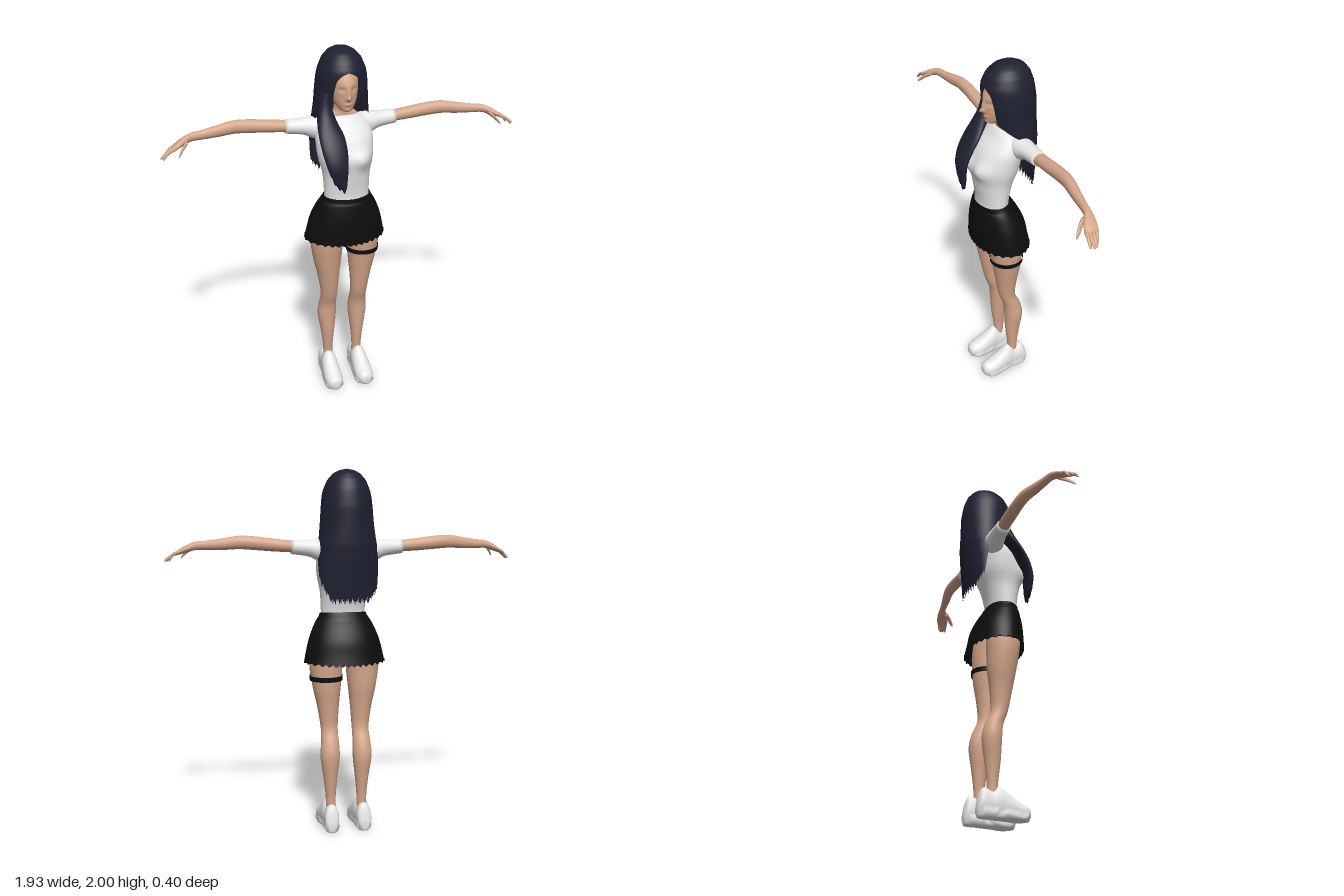
import * as THREE from 'three';

const mat = (name, color) => {
  const m = new THREE.MeshStandardMaterial({ color, side: THREE.DoubleSide });
  m.name = name;
  return m;
};

// Smooth interpolation through stations, component by component
function refine(stations, sub) {
  const out = [], last = stations.length - 1;
  for (let i = 0; i < last; i++) {
    const [a, b, c, d] = [Math.max(i - 1, 0), i, i + 1, Math.min(i + 2, last)].map(k => stations[k]);
    for (let s = 0; s < sub; s++) {
      const t = s / sub;
      out.push(b.map((_, k) => 0.5 * (2 * b[k] + (c[k] - a[k]) * t +
        (2 * a[k] - 5 * b[k] + 4 * c[k] - d[k]) * t * t + (3 * b[k] - a[k] - 3 * c[k] + d[k]) * t * t * t)));
    }
  }
  out.push(stations[last]);
  return out;
}

// Loft of elliptical rings; station = [x, y, z, radius1, radius2], running along +axis.
// Radii are x,z for axis y; y,z for axis x; x,y for axis z.
function loft(stations, axis, { n = 24, sub = 4, open = false, deform = null } = {}) {
  const rings = refine(stations, sub), pos = [], idx = [], v = new THREE.Vector3();
  const add = () => { if (deform) deform(v); pos.push(v.x, v.y, v.z); };
  for (const [x, y, z, p, q] of rings) {
    for (let j = 0; j < n; j++) {
      const t = j / n * Math.PI * 2, c = Math.cos(t), s = Math.sin(t);
      if (axis === 'y') v.set(x + p * s, y, z + q * c);
      else if (axis === 'x') v.set(x, y + p * c, z + q * s);
      else v.set(x + p * c, y + q * s, z);
      add();
    }
  }
  const m = rings.length;
  for (let i = 0; i < m - 1; i++) for (let j = 0; j < n; j++) {
    const a = i * n + j, b = i * n + (j + 1) % n;
    idx.push(a, b, b + n, a, b + n, a + n);
  }
  if (!open) {
    for (const r of [0, m - 1]) {
      const centre = pos.length / 3;
      v.set(...rings[r].slice(0, 3));
      add();
      for (let j = 0; j < n; j++) {
        const a = r * n + j, b = r * n + (j + 1) % n;
        r ? idx.push(a, b, centre) : idx.push(b, a, centre);
      }
    }
  }
  return build(pos, idx);
}

function build(pos, idx) {
  const g = new THREE.BufferGeometry();
  g.setAttribute('position', new THREE.Float32BufferAttribute(pos, 3));
  g.setIndex(idx);
  g.computeVertexNormals();
  return g;
}

function mirrored(g) {
  const pos = Array.from(g.attributes.position.array, (p, i) => i % 3 ? p : -p);
  return build(pos, Array.from(g.index.array).reverse());
}

// Linear lookup in rows [y, ...values], y falling
function lookup(rows, y) {
  let i = 0;
  while (i < rows.length - 2 && y < rows[i + 1][0]) i++;
  const [a, b] = [rows[i], rows[i + 1]];
  const t = THREE.MathUtils.clamp((a[0] - y) / (a[0] - b[0]), 0, 1);
  return a.map((p, k) => p + (b[k] - p) * t);
}

// Long hair: a sheet wrapped round the head, parted at the face and ragged at the hem
function hairSheet() {
  // y, centre z, radius x, radius z, opening angle from the front in degrees
  const rows = [
    [2.0, -0.06, 0.002, 0.002, 0], [1.993, -0.06, 0.04, 0.045, 0], [1.975, -0.058, 0.073, 0.083, 0],
    [1.94, -0.055, 0.104, 0.115, 0], [1.89, -0.052, 0.125, 0.136, 0], [1.875, -0.053, 0.129, 0.138, 17],
    [1.85, -0.055, 0.134, 0.14, 26], [1.8, -0.06, 0.139, 0.142, 31], [1.7, -0.067, 0.147, 0.135, 33],
    [1.65, -0.075, 0.153, 0.127, 58], [1.6, -0.085, 0.16, 0.117, 88], [1.5, -0.09, 0.167, 0.102, 98],
    [1.4, -0.1, 0.163, 0.08, 103], [1.28, -0.115, 0.15, 0.05, 108]];
  const U = 96, V = 60, pos = [], idx = [];
  for (let i = 0; i <= V; i++) for (let j = 0; j <= U; j++) {
    const u = j / U, edge = Math.min(u, 1 - u);
    const rag = 0.014 * Math.sin(j * 2.3) + 0.01 * Math.sin(j * 0.9);
    const hem = 1.3 + (u < 0.5 ? 0.13 : 0.07) * Math.max(0, 1 - edge / 0.22) + rag;
    const f = i / V;
    const y = 2 - (2 - hem) * (f < 0.2 ? f * f * 2.5 : 0.1 + (f - 0.2) * 1.125);
    const [, cz, rx, rz, deg] = lookup(rows, y);
    const o = THREE.MathUtils.degToRad(deg), t = o + u * 2 * (Math.PI - o);
    pos.push(rx * Math.sin(t), y, cz + rz * Math.cos(t));
  }
  for (let i = 0; i < V; i++) for (let j = 0; j < U; j++) {
    const a = i * (U + 1) + j, b = a + U + 1;
    idx.push(b, b + 1, a + 1, b, a + 1, a);
  }
  return build(pos, idx);
}

const bump = (v, x, y, sx, sy) => Math.exp(-(((v.x - x) / sx) ** 2) - (((v.y - y) / sy) ** 2));

export function createModel() {
  const model = new THREE.Group();
  const skin = mat('skin', 0xd4a68a), white = mat('white cloth', 0xeeeeee);
  const hair = mat('dark hair', 0x1f2031), black = mat('black cloth', 0x0d0d0d);
  const add = (name, geo, material) => {
    const m = new THREE.Mesh(geo, material);
    m.name = name;
    model.add(m);
  };
  const pair = (name, geo, material) => {
    add('left' + name, geo, material);
    add('right' + name, mirrored(geo), material);
  };

  // Head with nose, eye sockets, lips and chin
  add('head', loft([
    [0, 1.677, 0.035, 0.012, 0.012], [0, 1.688, 0.025, 0.034, 0.042], [0, 1.72, 0.005, 0.056, 0.07],
    [0, 1.76, -0.01, 0.069, 0.089], [0, 1.82, -0.025, 0.076, 0.108], [0, 1.88, -0.045, 0.076, 0.105],
    [0, 1.94, -0.055, 0.06, 0.075], [0, 1.965, -0.055, 0.015, 0.02]], 'y',
  { n: 64, sub: 8, deform: v => {
    if (v.z < 0.02) return;
    v.z += 0.026 * bump(v, 0, 1.757, 0.011, 0.013) + 0.012 * bump(v, 0, 1.785, 0.009, 0.025)
      + 0.007 * bump(v, 0, 1.722, 0.02, 0.009) + 0.005 * bump(v, 0, 1.69, 0.02, 0.012)
      - 0.01 * (bump(v, 0.032, 1.802, 0.018, 0.012) + bump(v, -0.032, 1.802, 0.018, 0.012));
  } }), skin);
  add('neck', loft([[0, 1.61, -0.04, 0.1, 0.05], [0, 1.65, -0.04, 0.077, 0.047],
    [0, 1.67, -0.035, 0.05, 0.044], [0, 1.74, -0.025, 0.044, 0.045]], 'y'), skin);

  // Hair and the lock lying over the right shoulder
  add('longHair', hairSheet(), hair);
  add('frontLock', loft([
    [-0.05, 1.29, 0.18, 0.01, 0.008], [-0.072, 1.34, 0.178, 0.036, 0.018], [-0.085, 1.42, 0.175, 0.055, 0.025],
    [-0.092, 1.5, 0.145, 0.067, 0.028], [-0.098, 1.57, 0.1, 0.067, 0.03], [-0.108, 1.63, 0.055, 0.053, 0.035],
    [-0.11, 1.7, 0.015, 0.038, 0.04], [-0.1, 1.78, 0, 0.03, 0.04]], 'y',
  { n: 32, deform: v => { if (v.y < 1.36) v.y += 0.012 * Math.sin(v.x * 260); } }), hair);

  // Shirt
  add('shirt', loft([
    [0, 1.17, 0.04, 0.122, 0.083], [0, 1.24, 0.04, 0.124, 0.083], [0, 1.34, 0.034, 0.13, 0.103],
    [0, 1.42, 0.02, 0.148, 0.12], [0, 1.48, 0.008, 0.155, 0.12], [0, 1.54, -0.006, 0.155, 0.112],
    [0, 1.6, -0.03, 0.135, 0.082], [0, 1.635, -0.038, 0.095, 0.06], [0, 1.645, -0.04, 0.065, 0.047]], 'y',
  { n: 48, sub: 6, deform: v => {
    if (v.z > 0.03) v.z += 0.034 * Math.min(1, (v.z - 0.03) / 0.05)
      * (bump(v, 0.068, 1.44, 0.055, 0.055) + bump(v, -0.068, 1.44, 0.055, 0.055));
  } }), white);
  pair('Sleeve', loft([[0.06, 1.578, -0.045, 0.058, 0.055], [0.15, 1.572, -0.063, 0.06, 0.057],
    [0.21, 1.582, -0.068, 0.045, 0.048], [0.305, 1.588, -0.07, 0.037, 0.041]], 'x'), white);

  // Arms, fingers and thumbs
  pair('Arm', loft([
    [0.26, 1.588, -0.07, 0.03, 0.034], [0.4, 1.6, -0.073, 0.034, 0.034], [0.5, 1.61, -0.073, 0.036, 0.031],
    [0.58, 1.614, -0.068, 0.035, 0.029], [0.66, 1.606, -0.055, 0.031, 0.026], [0.74, 1.6, -0.041, 0.025, 0.021],
    [0.8, 1.597, -0.03, 0.022, 0.02], [0.835, 1.587, -0.018, 0.021, 0.029], [0.87, 1.573, -0.005, 0.017, 0.036],
    [0.905, 1.556, 0.004, 0.01, 0.034]], 'x'), skin);
  [[-0.022, 0.0, 0.945], [-0.005, 0.014, 0.96], [0.013, 0.028, 0.966], [0.03, 0.042, 0.955]].forEach(([z0, z1, tip], i) => {
    pair('Finger' + (i + 1), loft([
      [0.885, 1.564, z0, 0.009, 0.009], [0.92, 1.55, (z0 + z1) / 2, 0.009, 0.009],
      [tip - 0.008, 1.524, z1 - 0.002, 0.008, 0.008], [tip, 1.517, z1, 0.003, 0.003]], 'x', { n: 10 }), skin);
  });
  pair('Thumb', loft([[0.825, 1.584, 0.005, 0.013, 0.014], [0.85, 1.564, 0.035, 0.011, 0.013],
    [0.87, 1.542, 0.058, 0.009, 0.011], [0.878, 1.53, 0.068, 0.003, 0.004]], 'x', { n: 10 }), skin);

  // Skirt with a scalloped hem
  add('skirt', loft([
    [0, 0.945, -0.003, 0.228, 0.153], [0, 1.0, 0.003, 0.217, 0.147], [0, 1.08, 0.01, 0.197, 0.138],
    [0, 1.16, 0.025, 0.164, 0.114], [0, 1.2, 0.037, 0.139, 0.094], [0, 1.222, 0.042, 0.129, 0.087]], 'y',
  { n: 120, open: true, deform: v => {
    if (v.y < 0.95) v.y += 0.007 * Math.sin(30 * Math.atan2(v.x, v.z)) + 0.2 * v.x * v.x;
    if (v.y > 1.19) v.y -= 0.1 * (v.z - 0.04);
  } }), black);

  // Legs and thigh strap
  pair('Leg', loft([
    [0.088, 0.12, -0.05, 0.027, 0.027], [0.089, 0.2, -0.048, 0.029, 0.031], [0.09, 0.3, -0.048, 0.039, 0.043],
    [0.092, 0.42, -0.052, 0.054, 0.053], [0.09, 0.5, -0.04, 0.05, 0.049], [0.089, 0.58, -0.01, 0.048, 0.047],
    [0.094, 0.7, -0.002, 0.061, 0.062], [0.1, 0.8, 0, 0.077, 0.078], [0.103, 0.9, 0.006, 0.09, 0.089],
    [0.103, 0.98, 0.008, 0.092, 0.093], [0.09, 1.08, 0.012, 0.088, 0.088]], 'y', { n: 32 }), skin);
  add('thighStrap', loft([[0.103, 0.848, 0.003, 0.091, 0.091], [0.103, 0.876, 0.003, 0.093, 0.093]], 'y',
    { n: 40, sub: 1, open: true }), black);

  // Shoes with flat soles
  pair('Shoe', loft([
    [0.093, 0.038, -0.135, 0.02, 0.018], [0.093, 0.06, -0.122, 0.036, 0.06], [0.092, 0.075, -0.1, 0.041, 0.08],
    [0.091, 0.07, -0.055, 0.042, 0.075], [0.092, 0.082, -0.015, 0.046, 0.088], [0.093, 0.063, 0.04, 0.051, 0.068],
    [0.094, 0.045, 0.1, 0.052, 0.05], [0.094, 0.042, 0.14, 0.04, 0.036], [0.094, 0.04, 0.155, 0.02, 0.018]], 'z',
  { n: 32, deform: v => {
    if (v.y < 0.035) v.y = Math.max(0, v.y * 1.5 - 0.0175);
    if (v.y < 0.03 && v.z > -0.11 && v.z < 0.13) v.x = 0.093 + (v.x - 0.093) * 1.3;
    v.x = THREE.MathUtils.clamp(v.x, 0.04, 0.146);
  } }), white);
  return model;
}
